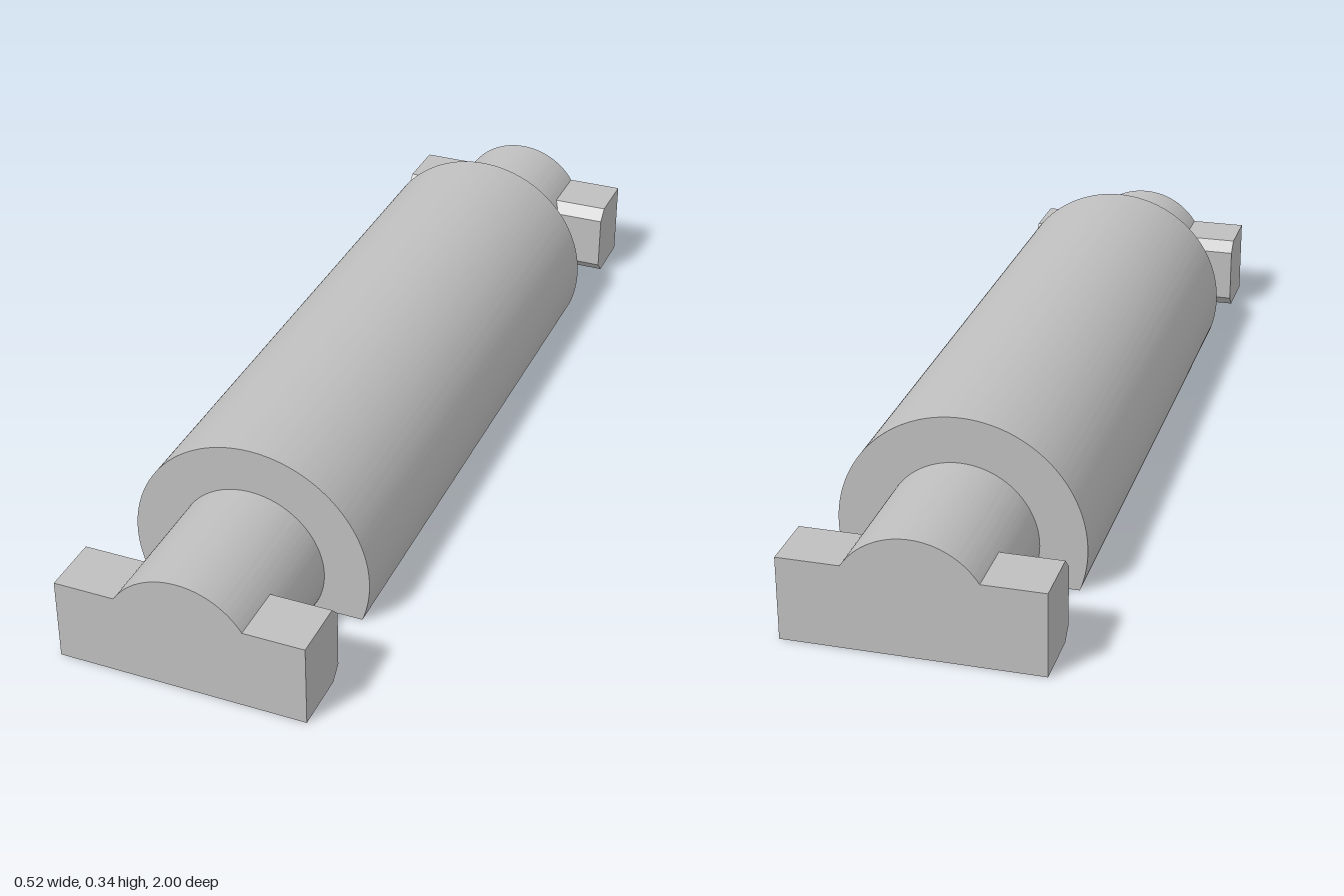
import * as THREE from 'three';
import { toCreasedNormals } from 'three/addons/utils/BufferGeometryUtils.js';

const AXIS_Y = 0.088; // height of the shared roller axis

// Round bar along z, cut flat at y = 0
function flatBottomBar(radius, zStart, zEnd) {
  const a = Math.asin(AXIS_Y / radius);
  const shape = new THREE.Shape();
  shape.absarc(0, AXIS_Y, radius, -a, Math.PI + a, false);
  shape.closePath();
  const geo = new THREE.ExtrudeGeometry(shape, {
    depth: zEnd - zStart, bevelEnabled: false, curveSegments: 64,
  });
  geo.translate(0, 0, zStart);
  return toCreasedNormals(geo, 0.5);
}

// End lug: side profile in (z, y) with chamfered inner edges, swept along x
function lugGeometry(xInner, xOuter) {
  const points = [
    [1, 0], [1, 0.175], [0.875, 0.175], [0.85, 0.15], [0.85, 0.025], [0.875, 0],
  ].map(([z, y]) => new THREE.Vector2(z, y));
  const geo = new THREE.ExtrudeGeometry(new THREE.Shape(points), {
    depth: xOuter - xInner, bevelEnabled: false,
  });
  geo.rotateY(-Math.PI / 2);
  geo.translate(xOuter, 0, 0);
  return geo;
}

export function createModel() {
  const grey = new THREE.MeshStandardMaterial({ color: 0xbfbfbf });
  grey.name = 'grey metal';

  const model = new THREE.Group();
  model.name = 'flatBottomRoller';

  const add = (parent, name, geometry) => {
    const mesh = new THREE.Mesh(geometry, grey);
    mesh.name = name;
    parent.add(mesh);
  };

  // Large central barrel
  add(model, 'barrel', flatBottomBar(0.257, -0.68, 0.68));

  // Matching ends: thin shaft with a lug on each side
  for (const [name, turn] of [['frontEnd', 0], ['backEnd', Math.PI]]) {
    const end = new THREE.Group();
    end.name = name;
    end.rotation.y = turn;
    add(end, 'shaft', flatBottomBar(0.16, 0.68, 1));
    add(end, 'leftLug', lugGeometry(0.133, 0.262));
    add(end, 'rightLug', lugGeometry(-0.262, -0.133));
    model.add(end);
  }

  return model;
}
